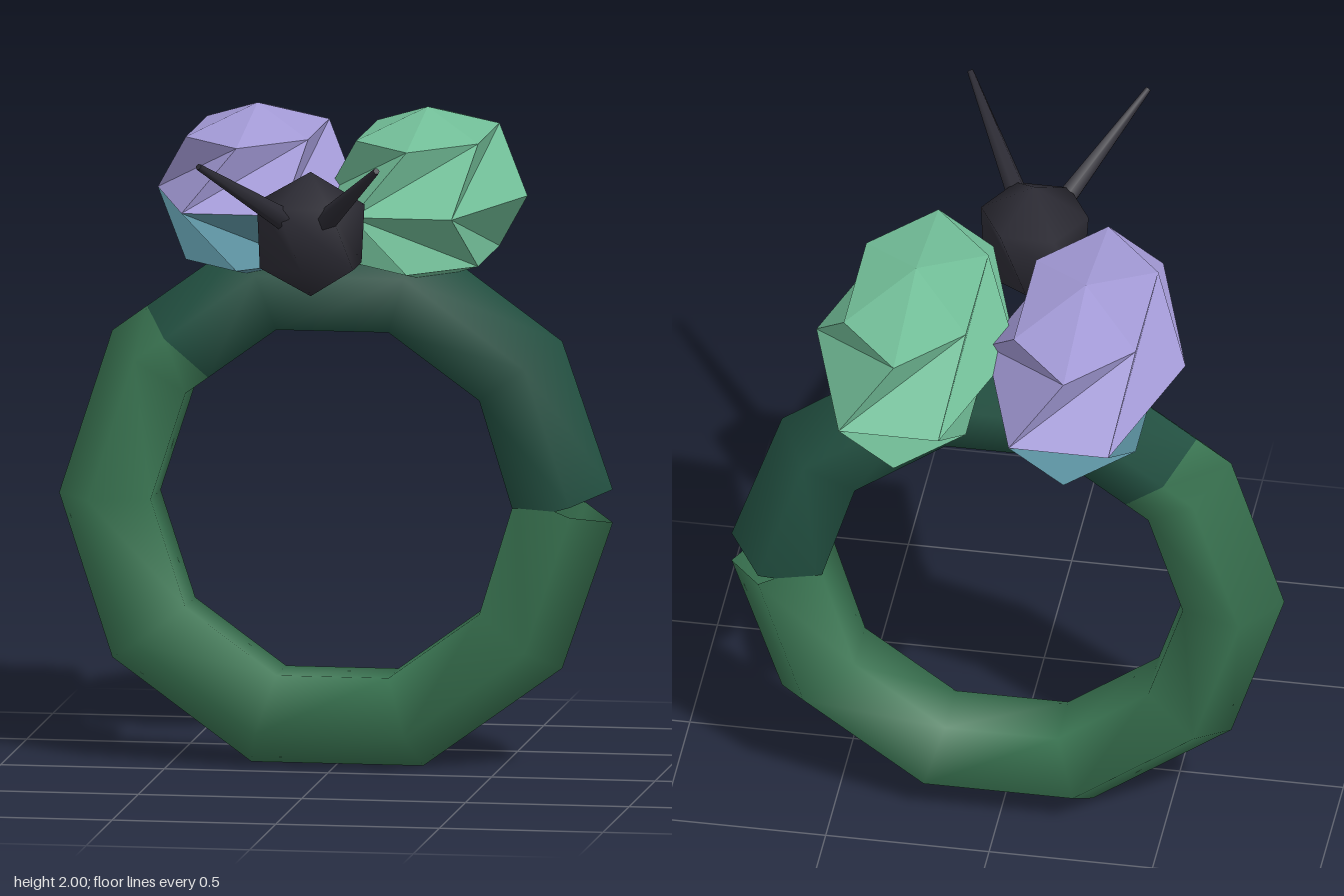
import * as THREE from 'three';

const mat = (name, color, side = THREE.FrontSide) => {
  const m = new THREE.MeshStandardMaterial({ color, side });
  m.name = name;
  return m;
};

function geometryFrom(points, index) {
  const g = new THREE.BufferGeometry();
  g.setAttribute('position', new THREE.Float32BufferAttribute(points, 3));
  g.setIndex(index);
  return g;
}

// Six-sided spheroid whose rings are turned against each other, leaving folded facets.
// rings: [polar angle, turn] in degrees from top to bottom; size: [x, y, z] radii
function foldedSpheroid(rings, [rx, ry, rz]) {
  const n = 6, rad = Math.PI / 180;
  const points = [0, ry, 0];
  for (const [polar, turn] of rings) {
    for (let k = 0; k < n; k++) {
      const t = (turn + k * 60) * rad, s = Math.sin(polar * rad);
      points.push(rx * s * Math.sin(t), ry * Math.cos(polar * rad), rz * s * Math.cos(t));
    }
  }
  points.push(0, -ry, 0);
  const id = (r, k) => 1 + r * n + (k % n);
  const bottom = 1 + rings.length * n;
  const index = [];
  const faces = (fn) => { for (let k = 0; k < n; k++) index.push(...fn(k, k + 1)); };
  faces((k, m) => [id(0, k), id(0, m), 0]);
  for (let r = 0; r + 1 < rings.length; r++) {
    const u = r, l = r + 1;
    if (rings[l][1] < rings[u][1]) {
      faces((k, m) => [id(l, k), id(l, m), id(u, m), id(l, k), id(u, m), id(u, k)]);
    } else {
      faces((k, m) => [id(u, k), id(l, k), id(l, m), id(u, k), id(l, m), id(u, m)]);
    }
  }
  const last = rings.length - 1;
  faces((k, m) => [id(last, m), id(last, k), bottom]);
  return geometryFrom(points, index);
}

// Ten-sided hoop with a pentagonal section and a notch where its ends meet
function hoopGeometry() {
  const R = 0.687, r = 0.163, sides = 5, step = Math.PI / 5;
  const section = (k) => {
    const a = k * step;
    const dir = a + (k === 0 ? step / 2 : k === 10 ? -step / 2 : 0);
    return Array.from({ length: sides }, (_, j) => {
      const p = (j / sides) * Math.PI * 2, c = r * Math.cos(p);
      return new THREE.Vector3(
        R * Math.cos(a) + c * Math.cos(dir),
        R * Math.sin(a) + c * Math.sin(dir),
        r * Math.sin(p));
    });
  };
  const sections = Array.from({ length: 11 }, (_, k) => section(k));
  // colour change falls three quarters along the fourth segment
  sections.splice(4, 0, sections[3].map((v, j) => v.clone().lerp(sections[4][j], 0.75)));
  const index = [];
  for (let i = 0; i + 1 < sections.length; i++) {
    for (let j = 0; j < sides; j++) {
      const a = i * sides + j, b = i * sides + (j + 1) % sides;
      index.push(a, a + sides, b + sides, a, b + sides, b);
    }
  }
  const g = geometryFrom(sections.flat().flatMap((v) => v.toArray()), index);
  g.computeVertexNormals();
  const split = 4 * sides * 6;
  g.addGroup(0, split, 0);
  g.addGroup(split, index.length - split, 1);
  return g;
}

export function createModel() {
  const model = new THREE.Group();
  model.name = 'beetleRing';
  const darkGreen = mat('darkGreen', 0x225041, THREE.DoubleSide);
  const midGreen = mat('midGreen', 0x3a7552, THREE.DoubleSide);
  const mint = mat('mint', 0x72be98);
  const lilac = mat('lilac', 0xa39ad6);
  const teal = mat('teal', 0x5f97a6);
  const black = mat('black', 0x2c2b34);

  const add = (name, geometry, material, x, y, z) => {
    const mesh = new THREE.Mesh(geometry, material);
    mesh.name = name;
    mesh.position.set(x, y, z);
    model.add(mesh);
    return mesh;
  };

  // Hoop
  add('hoop', hoopGeometry(), [darkGreen, midGreen], 0, 0.81, -0.18);

  // Faceted wing cases: the upper and lower halves are separate colour groups
  const wing = foldedSpheroid([[45, 60], [90, 30], [135, 60]], [0.305, 0.265, 0.58]).toNonIndexed();
  wing.computeVertexNormals();
  const half = wing.attributes.position.count / 2;
  wing.addGroup(0, half, 0);
  wing.addGroup(half, half, 1);
  add('leftWing', wing, [mint, mint], 0.26, 1.735, -0.283);
  add('rightWing', wing, [lilac, teal], -0.26, 1.735, -0.283);

  // Head
  const head = foldedSpheroid([[60, 30], [120, 60]], [0.19, 0.19, 0.19]);
  head.computeVertexNormals();
  add('head', head, black, 0, 1.7, 0.33);

  // Antennae
  for (const s of [1, -1]) {
    const from = new THREE.Vector3(s * 0.05, 1.745, 0.41);
    const to = new THREE.Vector3(s * 0.272, 1.968, 0.775);
    const dir = to.clone().sub(from);
    const mid = from.clone().add(to).multiplyScalar(0.5);
    const antenna = add(s > 0 ? 'leftAntenna' : 'rightAntenna',
      new THREE.CylinderGeometry(0.01, 0.036, dir.length(), 6), black, mid.x, mid.y, mid.z);
    antenna.quaternion.setFromUnitVectors(new THREE.Vector3(0, 1, 0), dir.normalize());
  }
  return model;
}
